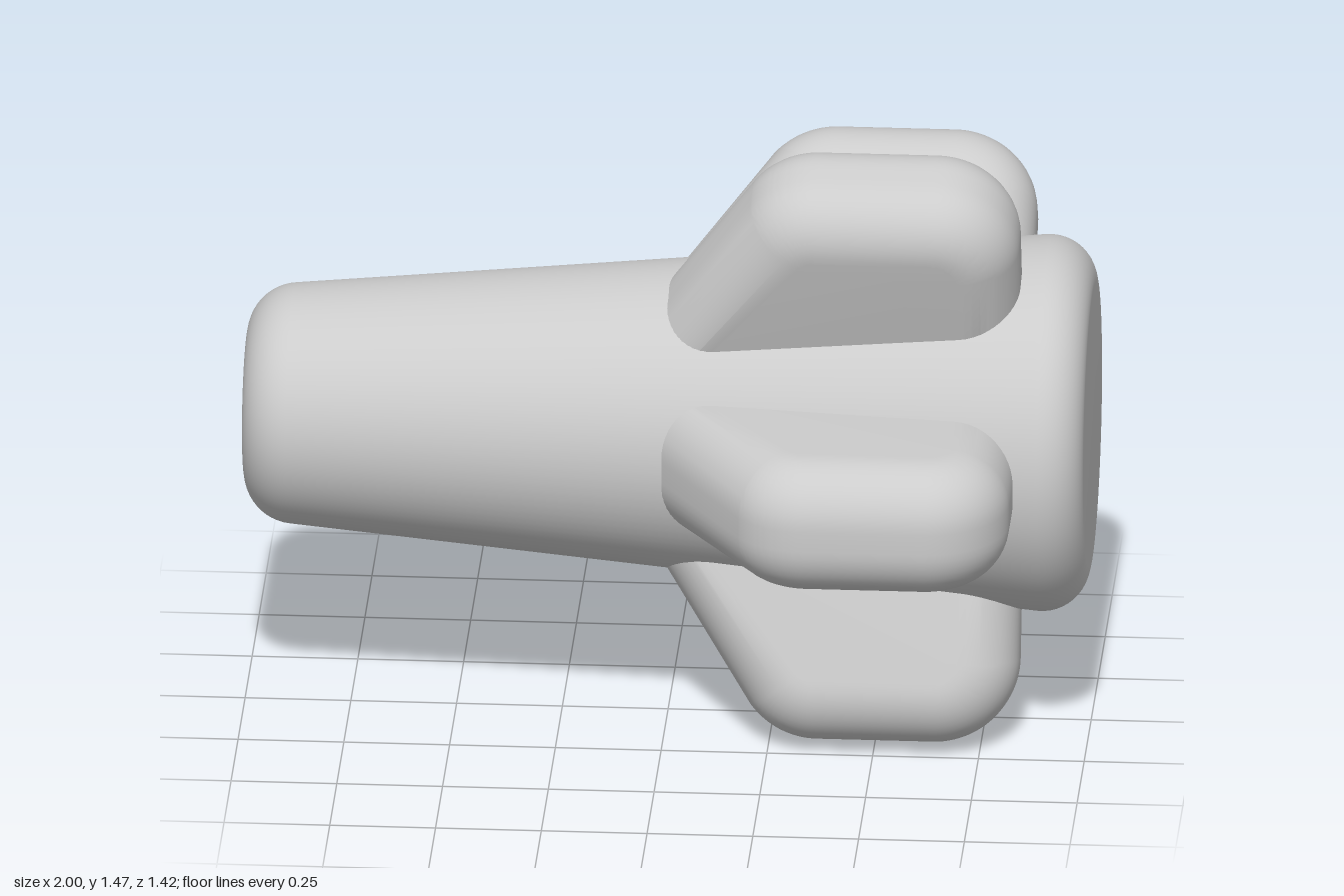
import * as THREE from 'three';
import { toCreasedNormals } from 'three/addons/utils/BufferGeometryUtils.js';

const material = new THREE.MeshStandardMaterial({ color: 0xcccccc });

// Tapered body with rounded ends: a profile turned around y, laid along x
function createBody() {
  const points = [new THREE.Vector2(0, -1)];
  const addArc = (radius, along, bend, from, to) => {
    for (let i = 0; i <= 12; i++) {
      const a = THREE.MathUtils.degToRad(from + (to - from) * i / 12);
      points.push(new THREE.Vector2(radius + bend * Math.cos(a), along + bend * Math.sin(a)));
    }
  };
  addArc(0.165, -0.88, 0.12, -90, -5);
  addArc(0.335, 0.89, 0.11, -5, 90);
  points.push(new THREE.Vector2(0, 1));
  const body = new THREE.Mesh(new THREE.LatheGeometry(points, 96), material);
  body.name = 'body';
  body.rotation.z = -Math.PI / 2;
  return body;
}

// Fin: swept profile (x along the body, y outward) with fully rounded edges
function createFinGeometry() {
  const bevel = 0.14, halfWidth = 0.165, corner = 0.06;
  const slope = Math.atan2(0.6, -0.8);
  const shape = new THREE.Shape();
  shape.moveTo(0.02, 0.2);
  shape.lineTo(0.7, 0.2);
  shape.absarc(0.64, 0.56, corner, 0, Math.PI / 2, false);
  shape.absarc(0.366, 0.56, corner, Math.PI / 2, slope, false);
  shape.closePath();
  const depth = 2 * (halfWidth - bevel);
  const geometry = new THREE.ExtrudeGeometry(shape, {
    depth, bevelEnabled: true, bevelThickness: bevel, bevelSize: bevel,
    bevelSegments: 12, curveSegments: 12,
  });
  geometry.translate(0, 0, -depth / 2);
  return toCreasedNormals(geometry, 0.6);
}

export function createModel() {
  const model = new THREE.Group();
  model.name = 'finnedBody';
  model.add(createBody());

  // Five fins evenly around the axis, the first facing forward
  const finGeometry = createFinGeometry();
  for (let i = 0; i < 5; i++) {
    const fin = new THREE.Mesh(finGeometry, material);
    fin.name = `fin${i + 1}`;
    fin.rotation.x = Math.PI / 2 + i * Math.PI * 2 / 5;
    model.add(fin);
  }

  // Rest the lowest fins on the ground and centre the depth
  model.position.set(0, 0.74, -0.053);
  const root = new THREE.Group();
  root.name = 'model';
  root.add(model);
  return root;
}
